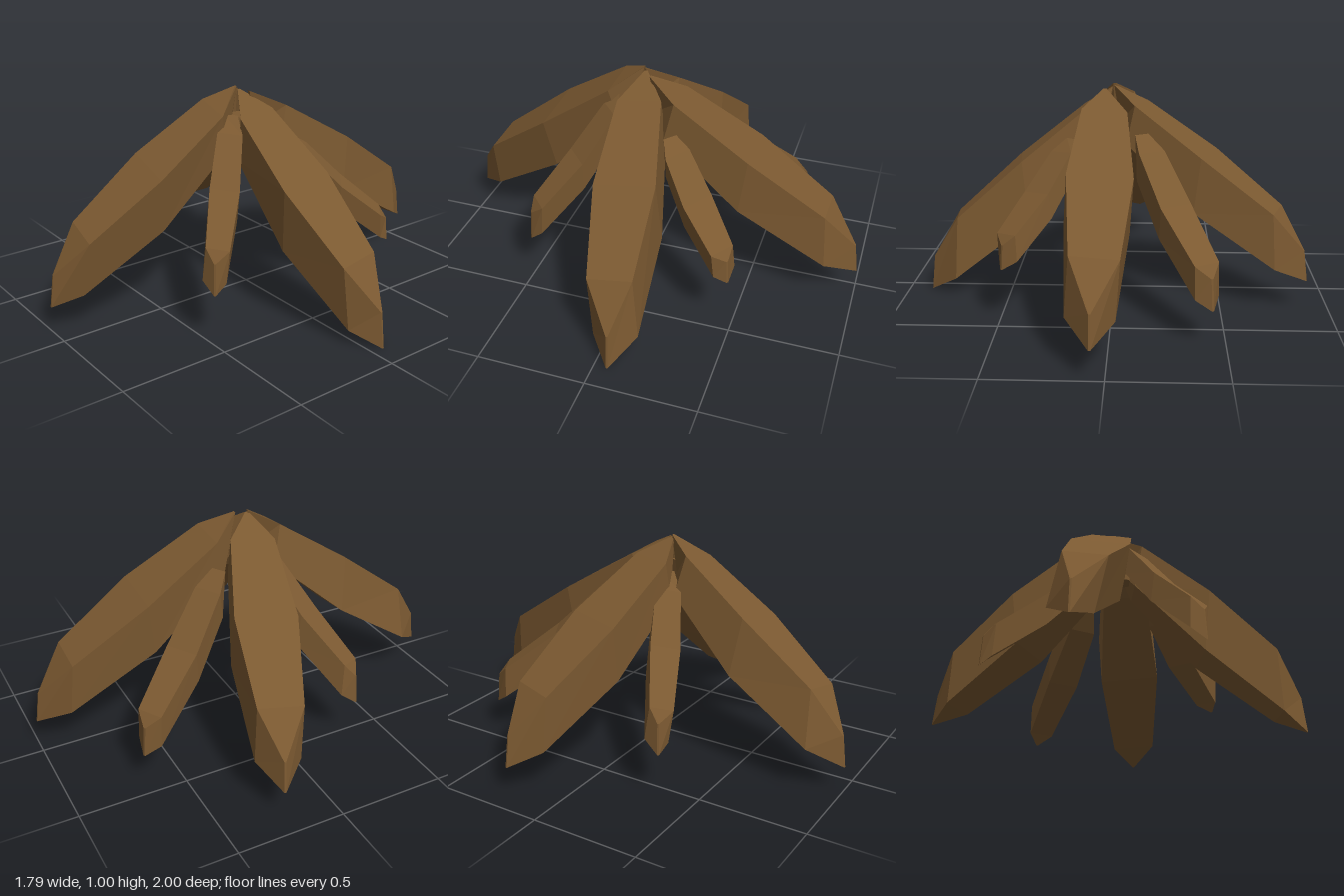
import * as THREE from 'three';

// Stations along a leaf: [distance, drop] of the upper and lower face and width, as fractions
const LARGE = {
  top: [[0, 0], [0.14, 0.09], [0.49, 0.34], [0.84, 0.62], [0.98, 0.83]],
  low: [[0.03, 0.2], [0.1, 0.3], [0.46, 0.64], [0.86, 0.92], [1, 1]],
  width: [0.05, 0.72, 1, 0.72, 0.03],
};
const SMALL = {
  top: [[0, 0], [0.15, 0.1], [0.5, 0.41], [0.91, 0.7], [0.98, 0.78]],
  low: [[0.02, 0.17], [0.12, 0.3], [0.48, 0.63], [0.92, 0.93], [1, 1]],
  width: [0.45, 0.85, 1, 0.78, 0.06],
};

// Lofts a thick drooping leaf from base to tip, rolled about its own length
function leafGeometry(base, tip, halfWidth, roll, { top, low, width }) {
  const run = new THREE.Vector3(tip[0] - base[0], 0, tip[2] - base[2]);
  const drop = base[1] - tip[1];
  const side = new THREE.Vector3(run.z, 0, -run.x).normalize();

  const rings = top.map(([tTop, fTop], i) => {
    const [tLow, fLow] = low[i];
    const w = halfWidth * width[i];
    const half = (fLow - fTop) * drop / 2;
    const midY = base[1] - (fTop + fLow) / 2 * drop;
    const turn = i === 0 || i === top.length - 1 ? 0 : roll; // both ends stay upright
    const corner = (s, h, t) => new THREE.Vector3(base[0], midY, base[2])
      .addScaledVector(run, t)
      .addScaledVector(side, s * Math.cos(turn) + h * Math.sin(turn))
      .add(new THREE.Vector3(0, h * Math.cos(turn) - s * Math.sin(turn), 0));
    return [corner(-w, half, tTop), corner(w, half, tTop),
      corner(w, -half, tLow), corner(-w, -half, tLow)];
  });

  const points = [];
  const quad = (a, b, c, d) => points.push(a, b, c, a, c, d);
  for (let i = 0; i < rings.length - 1; i++) {
    for (let j = 0; j < 4; j++) {
      const k = (j + 1) % 4;
      quad(rings[i][j], rings[i + 1][j], rings[i + 1][k], rings[i][k]);
    }
  }
  quad(...rings[0]);
  quad(...[...rings[rings.length - 1]].reverse());
  const geometry = new THREE.BufferGeometry().setFromPoints(points);
  geometry.computeVertexNormals();
  return geometry;
}

export function createModel() {
  const model = new THREE.Group();
  model.name = 'droopingLeafCluster';
  const brown = new THREE.MeshStandardMaterial({ color: 0x7b5931, flatShading: true });
  brown.name = 'driedBrown';

  const add = (name, geometry) => {
    const mesh = new THREE.Mesh(geometry, brown);
    mesh.name = name;
    model.add(mesh);
    return mesh;
  };

  // Four large leaves meeting at the crown, four small ones tucked in between
  const leaves = [
    ['frontLeaf', [0, 1, 0.06], [-0.11, 0.12, 1], 0.135, 0.2, LARGE],
    ['backLeaf', [0.045, 0.98, 0.02], [0.06, 0.13, -1], 0.145, 0.07, LARGE],
    ['leftLeaf', [0.01, 0.985, 0.05], [0.89, 0, -0.06], 0.14, -0.08, LARGE],
    ['rightLeaf', [0, 0.99, 0.06], [-0.9, 0.13, -0.23], 0.14, 0.04, LARGE],
    ['smallFrontLeftLeaf', [0.07, 0.89, 0.14], [0.42, 0.23, 0.49], 0.067, 0.1, SMALL],
    ['smallFrontRightLeaf', [-0.08, 0.85, 0.08], [-0.57, 0.2, 0.335], 0.067, 0.15, SMALL],
    ['smallBackLeftLeaf', [0.19, 0.77, -0.12], [0.48, 0.26, -0.48], 0.075, -0.1, SMALL],
    ['smallBackRightLeaf', [-0.13, 0.8, -0.15], [-0.44, 0.16, -0.67], 0.078, 0, SMALL],
  ];
  for (const [name, ...shape] of leaves) add(name, leafGeometry(...shape));

  // Short stem under the crown
  const stem = add('stem', new THREE.CylinderGeometry(0.055, 0.045, 0.16, 8));
  stem.position.set(0.05, 0.8, 0.085);
  return model;
}
